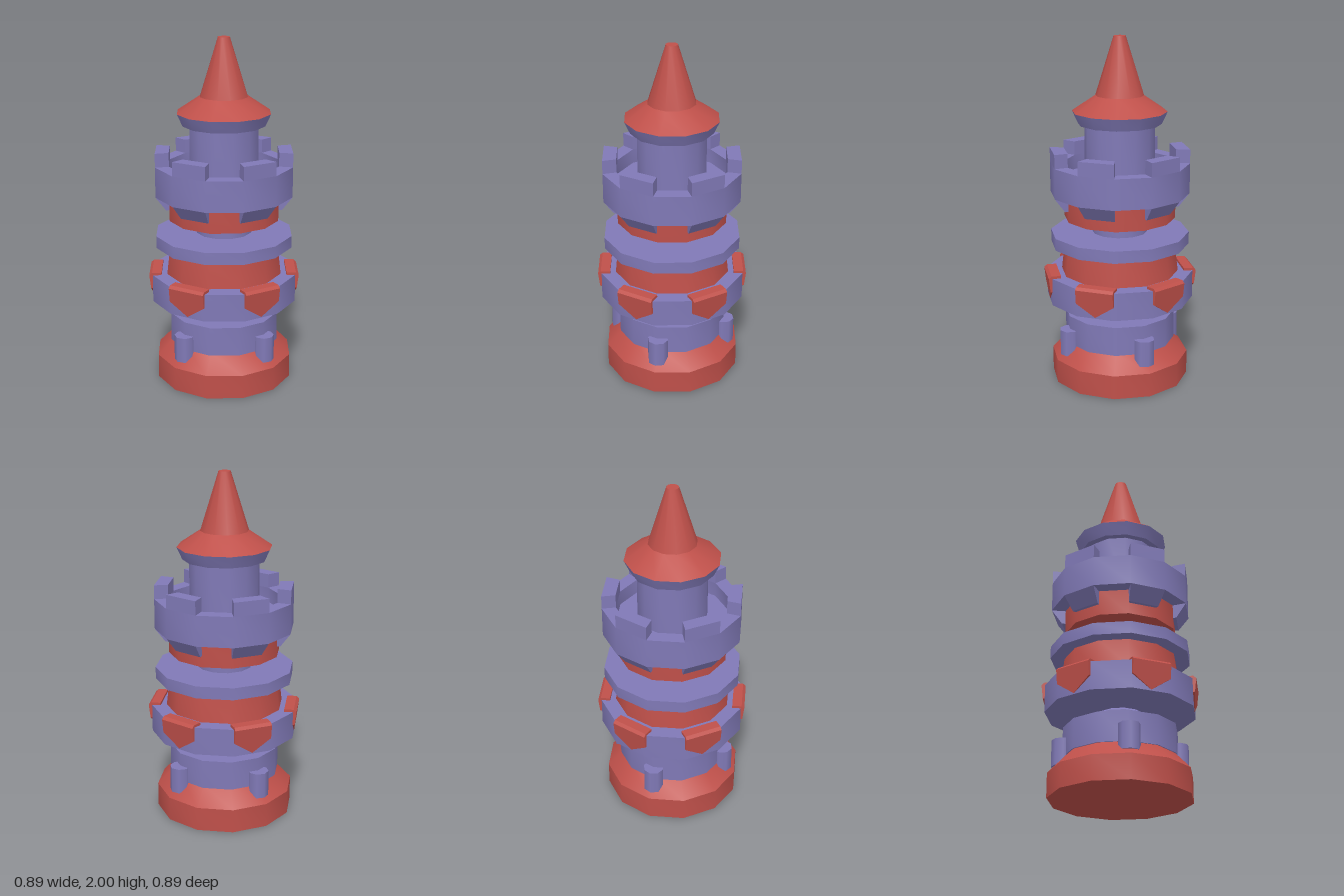
import * as THREE from 'three';
import { toCreasedNormals } from 'three/addons/utils/BufferGeometryUtils.js';
import { ConvexGeometry } from 'three/addons/geometries/ConvexGeometry.js';

const SIDES = 12;
const red = new THREE.MeshStandardMaterial({ color: 0xbf504a });
red.name = 'brick red';
const purple = new THREE.MeshStandardMaterial({ color: 0x8079b6 });
purple.name = 'stone purple';

// Twelve-sided turned part from [radius, height] pairs, listed bottom to top on the outside
function turned(name, material, profile) {
  const points = profile.map(([r, y]) => new THREE.Vector2(r, y));
  const geometry = toCreasedNormals(new THREE.LatheGeometry(points, SIDES), 0.6);
  const mesh = new THREE.Mesh(geometry, material);
  mesh.name = name;
  return mesh;
}

// Block filling one facet of the tower, from inner radius to a lower and an upper outer radius
function facetBlock(inner, outerLow, outerHigh, y0, y1) {
  const points = [];
  for (const a of [-Math.PI / SIDES, Math.PI / SIDES]) {
    for (const [r, y] of [[inner, y0], [outerLow, y0], [inner, y1], [outerHigh, y1]]) {
      points.push(new THREE.Vector3(r * Math.sin(a), y, r * Math.cos(a)));
    }
  }
  return new ConvexGeometry(points);
}

// Pointed shield with a leaning face and a bevelled top edge
function shieldGeometry() {
  const outline = [[-0.11, 0.645], [0.11, 0.645], [0.11, 0.565], [0, 0.49], [-0.11, 0.565]];
  const points = [];
  for (const [x, y] of outline) {
    points.push(new THREE.Vector3(x, y, 0.431 - (0.645 - y) * 0.12));
    points.push(new THREE.Vector3(x, y, 0.36));
  }
  for (const x of [-0.11, 0.11]) {
    points.push(new THREE.Vector3(x, 0.66, 0.415), new THREE.Vector3(x, 0.66, 0.36));
  }
  return new ConvexGeometry(points);
}

// Copies of one geometry spaced evenly around the tower
function around(name, geometry, material, count, startDegrees) {
  const group = new THREE.Group();
  group.name = name + 's';
  for (let i = 0; i < count; i++) {
    const mesh = new THREE.Mesh(geometry, material);
    mesh.name = name;
    mesh.rotation.y = THREE.MathUtils.degToRad(startDegrees) + (i * 2 * Math.PI) / count;
    group.add(mesh);
  }
  return group;
}

export function createModel() {
  const model = new THREE.Group();
  model.name = 'tower';

  // Base and lower drum
  model.add(
    turned('base', red, [[0, 0], [0.4, 0], [0.4, 0.14], [0.305, 0.24], [0, 0.24]]),
    turned('lowerDrum', purple, [[0, 0.23], [0.32, 0.23], [0.32, 0.4], [0, 0.4]]),
  );
  const stud = new THREE.CylinderGeometry(0.06, 0.06, 0.15, 8);
  stud.translate(0, 0.248, 0.32);
  model.add(around('stud', stud, purple, 4, 0));

  // Narrow necks between the stacked sections
  for (const [name, y] of [['lowerNeck', 0.4], ['upperNeck', 0.88]]) {
    model.add(turned(name, purple,
      [[0, y], [0.16, y], [0.16, y + 0.065], [0.13, y + 0.085], [0, y + 0.085]]));
  }

  // Middle section
  model.add(
    turned('shieldRing', purple, [[0, 0.485], [0.425, 0.485], [0.425, 0.645], [0, 0.645]]),
    turned('middleDrum', red, [[0, 0.64], [0.34, 0.64], [0.32, 0.81], [0, 0.81]]),
    turned('collar', purple, [[0, 0.81], [0.4, 0.81], [0.4, 0.88], [0, 0.88]]),
    around('shield', shieldGeometry(), red, 6, 45),
  );

  // Battlement section with a sunken walkway
  model.add(
    turned('upperDrum', red, [[0, 0.965], [0.32, 0.965], [0.32, 1.12], [0, 1.12]]),
    turned('parapet', purple,
      [[0, 1.11], [0.4, 1.11], [0.4, 1.285], [0.32, 1.285], [0.32, 1.2], [0, 1.2]]),
    around('merlon', facetBlock(0.32, 0.4, 0.4, 1.285, 1.365), purple, 6, 45),
    around('corbel', facetBlock(0.29, 0.34, 0.4, 1.03, 1.11), purple, 6, 45),
  );

  // Turret and roof
  model.add(
    turned('turret', purple, [[0, 1.19], [0.2, 1.19], [0.2, 1.51], [0, 1.51]]),
    turned('cornice', purple, [[0, 1.51], [0.238, 1.51], [0.27, 1.58], [0, 1.58]]),
    turned('eaves', red, [[0, 1.58], [0.27, 1.58], [0.137, 1.67], [0, 1.67]]),
    turned('spire', red, [[0.137, 1.67], [0.034, 2], [0, 2]]),
  );

  return model;
}
